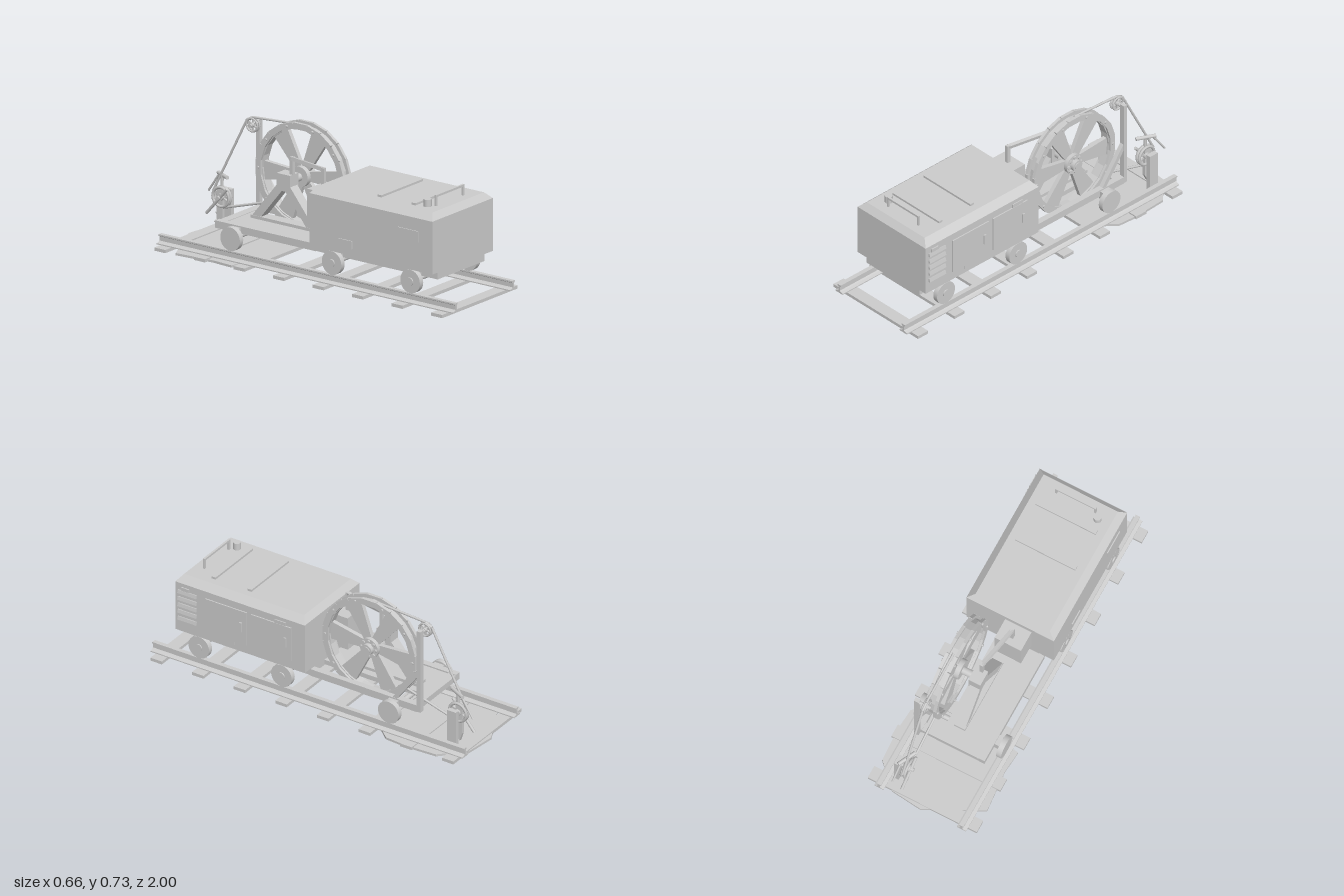
import * as THREE from 'three';

const mat = new THREE.MeshStandardMaterial({ color: 0xcccccc, side: THREE.DoubleSide });
const flat = new THREE.MeshStandardMaterial({ color: 0xcccccc, flatShading: true, side: THREE.DoubleSide });
const V = (x, y, z) => new THREE.Vector3(x, y, z);

function add(parent, name, geo, x = 0, y = 0, z = 0, m = mat) {
  const mesh = new THREE.Mesh(geo, m);
  mesh.name = name;
  mesh.position.set(x, y, z);
  parent.add(mesh);
  return mesh;
}
// Box given by its minimum and maximum on each axis
function box(parent, name, x0, x1, y0, y1, z0, z1) {
  return add(parent, name, new THREE.BoxGeometry(x1 - x0, y1 - y0, z1 - z0),
    (x0 + x1) / 2, (y0 + y1) / 2, (z0 + z1) / 2);
}
// Cylinder lying along x, from x0 to x1
function axial(parent, name, r, x0, x1, y, z, n = 24) {
  const geo = new THREE.CylinderGeometry(r, r, x1 - x0, n).rotateZ(Math.PI / 2);
  return add(parent, name, geo, (x0 + x1) / 2, y, z, n < 12 ? flat : mat);
}
// Straight beam between two points: square (w by d) or round (d omitted)
function beam(parent, name, a, b, w, d) {
  const len = a.distanceTo(b);
  const geo = d ? new THREE.BoxGeometry(w, len, d) : new THREE.CylinderGeometry(w, w, len, 8);
  const mesh = add(parent, name, geo);
  mesh.position.copy(a).lerp(b, 0.5);
  mesh.quaternion.setFromUnitVectors(V(0, 1, 0), b.clone().sub(a).normalize());
  return mesh;
}
// Bent bar through several points
function bar(parent, name, pts, w) {
  const g = new THREE.Group();
  g.name = name;
  parent.add(g);
  pts.slice(1).forEach((p, i) => beam(g, name + 'Length', pts[i], p, w, w));
  pts.slice(1, -1).forEach(p => add(g, name + 'Corner', new THREE.BoxGeometry(w, w, w), p.x, p.y, p.z));
}
// Extrude a shape (drawn with -z to the right) along x, centred on x = 0
function plateX(shape, depth) {
  return new THREE.ExtrudeGeometry(shape, { depth, bevelEnabled: false, curveSegments: 12 })
    .translate(0, 0, -depth / 2).rotateY(Math.PI / 2);
}
const poly = pts => new THREE.Shape(pts.map(p => new THREE.Vector2(...p)));

function buildTrack(root) {
  const g = new THREE.Group();
  g.name = 'track';
  root.add(g);
  for (let i = 0; i < 8; i++) {
    const z = 0.93 - i * 0.267;
    box(g, 'sleeper', -0.33, 0.33, 0.002, 0.02, z - 0.037, z + 0.037);
  }
  // I-shaped rail section
  const half = [[0.028, 0.02], [0.028, 0.026], [0.012, 0.031], [0.005, 0.036], [0.005, 0.06], [0.013, 0.065], [0.013, 0.073]];
  const section = poly([...half, ...half.map(([x, y]) => [-x, y]).reverse()]);
  for (const s of [-1, 1]) {
    add(g, 'rail', new THREE.ExtrudeGeometry(section, { depth: 2, bevelEnabled: false }), s * 0.25, 0, -1);
  }
  // Rough ground slab beneath the rear end
  const slab = poly([[-0.31, 0.47], [-0.3, 0.6], [-0.32, 0.84], [-0.06, 0.97], [0, 1], [0.18, 0.98], [0.31, 0.85],
    [0.32, 0.66], [0.31, 0.53], [0.25, 0.46], [0.1, 0.42], [-0.15, 0.4], [-0.25, 0.46]]);
  add(g, 'groundSlab', new THREE.ExtrudeGeometry(slab, { depth: 0.013, bevelEnabled: false }).rotateX(-Math.PI / 2));
}

function buildChassis(root) {
  const g = new THREE.Group();
  g.name = 'chassis';
  root.add(g);
  box(g, 'underframe', -0.205, 0.205, 0.163, 0.207, 0.02, 0.84);
  for (const s of [-1, 1]) box(g, 'sideBeam', s * 0.19 - 0.018, s * 0.19 + 0.018, 0.162, 0.203, -0.66, 0.02);
  box(g, 'deck', -0.175, 0.075, 0.168, 0.195, -0.64, 0.02);
  box(g, 'endBeam', -0.175, 0.175, 0.165, 0.198, -0.66, -0.61);
  for (const z of [0.7, 0.17, -0.515]) {
    axial(g, 'axle', 0.015, -0.24, 0.24, 0.14, z, 16);
    for (const s of [-1, 1]) {
      axial(g, 'trackWheel', 0.066, s * 0.25 - 0.015, s * 0.25 + 0.015, 0.14, z, 32);
      if (z > 0) axial(g, 'wheelCap', 0.022, s * 0.267 - 0.005, s * 0.267 + 0.005, 0.14, z, 16);
      box(g, 'axleBox', s * 0.219 - 0.014, s * 0.219 + 0.014, 0.143, 0.195, z - 0.03, z + 0.03);
    }
  }
}

function buildHousing(root) {
  const g = new THREE.Group();
  g.name = 'engineHousing';
  root.add(g);
  // Box whose upper ring is pulled in to chamfer the roof
  const geo = new THREE.BoxGeometry(0.53, 0.333, 0.83, 1, 2, 1);
  const p = geo.attributes.position;
  for (let i = 0; i < p.count; i++) {
    const y = p.getY(i);
    if (Math.abs(y) < 0.01) p.setY(i, 0.13);
    else if (y > 0) p.setXYZ(i, Math.sign(p.getX(i)) * 0.225, y, Math.sign(p.getZ(i)) * 0.385);
  }
  add(g, 'body', geo, 0, 0.3735, 0.435, flat);
  // Roof fittings
  for (const z of [0.43, 0.66]) box(g, 'roofStrip', -0.182, 0.182, 0.538, 0.552, z - 0.013, z + 0.013);
  bar(g, 'roofHandle', [V(-0.119, 0.535, 0.762), V(-0.119, 0.595, 0.762), V(0.117, 0.595, 0.762), V(0.117, 0.535, 0.762)], 0.012);
  add(g, 'fillerCap', new THREE.CylinderGeometry(0.022, 0.022, 0.045, 20), -0.15, 0.558, 0.73);
  // Doors and louvres on the left flank
  for (const [z0, z1] of [[0.39, 0.655], [0.105, 0.36]]) {
    box(g, 'door', 0.262, 0.272, 0.257, 0.462, z0, z1);
    box(g, 'doorHandle', 0.27, 0.28, 0.335, 0.392, z0 + 0.028, z0 + 0.043);
  }
  box(g, 'doorTab', 0.262, 0.27, 0.462, 0.482, 0.14, 0.215);
  box(g, 'doorTab', 0.262, 0.27, 0.235, 0.257, 0.47, 0.57);
  for (const y of [0.452, 0.41, 0.37, 0.33, 0.287]) {
    box(g, 'louvre', 0.262, 0.276, y - 0.01, y + 0.01, 0.71, 0.83).rotation.z = 0.2;
  }
  box(g, 'louvreTab', 0.262, 0.272, 0.46, 0.482, 0.76, 0.81);
  // Hatches on the right flank
  box(g, 'hatch', -0.271, -0.262, 0.37, 0.432, 0.62, 0.76);
  box(g, 'hatch', -0.271, -0.262, 0.245, 0.29, 0.22, 0.31);
  // Drive box and feed pipe behind the housing
  box(g, 'driveBox', -0.13, 0.03, 0.275, 0.47, -0.1, 0.03);
  bar(g, 'feedPipe', [V(-0.05, 0.46, -0.05), V(-0.05, 0.567, -0.05), V(0, 0.567, -0.3), V(0, 0.45, -0.3)], 0.02);
}

function buildWheel(root) {
  const g = new THREE.Group();
  g.name = 'driveWheel';
  g.position.set(0.139, 0.433, -0.33);
  root.add(g);
  const n = 20;
  // Segmented flanges with bolts
  for (let i = 0; i < n; i++) {
    const seg = new THREE.Group();
    seg.name = 'rimSegment';
    seg.rotation.x = (i / n) * Math.PI * 2;
    g.add(seg);
    for (const s of [-1, 1]) {
      box(seg, 'flangeBlock', s * 0.027 - 0.009, s * 0.027 + 0.009, 0.262, 0.297, -0.045, 0.045);
      if (i % 2) axial(seg, 'flangeBolt', 0.008, s * 0.038 - 0.005, s * 0.038 + 0.005, 0.28, 0, 8);
    }
  }
  // Drum between the flanges
  const ring = new THREE.Shape().absarc(0, 0, 0.28, 0, Math.PI * 2);
  ring.holes.push(new THREE.Path().absarc(0, 0, 0.26, 0, Math.PI * 2, true));
  add(g, 'drum', plateX(ring, 0.045));
  // Spokes widen toward the rim
  const spoke = poly([[0.04, -0.025], [0.268, -0.055], [0.268, 0.055], [0.04, 0.025]]);
  for (let i = 0; i < 6; i++) add(g, 'spoke', plateX(spoke, 0.025)).rotation.x = (56 + i * 60) * Math.PI / 180;
  // Hub
  axial(g, 'hub', 0.058, -0.04, 0.035, 0, 0, 24);
  axial(g, 'hubCap', 0.033, 0.03, 0.06, 0, 0, 16);
  axial(g, 'shaft', 0.022, -0.14, 0.065, 0, 0, 16);
  for (let i = 0; i < 8; i++) {
    const a = (i / 8) * Math.PI * 2;
    axial(g, 'hubBolt', 0.009, 0.03, 0.044, 0.045 * Math.cos(a), 0.045 * Math.sin(a), 6);
  }
  // Trestle carrying the shaft
  box(root, 'bearingBlock', -0.033, 0.04, 0.385, 0.48, -0.38, -0.29);
  for (const z of [-0.53, -0.14]) {
    beam(root, 'trestleLeg', V(0, 0.195, z), V(0, 0.41, -0.335 + Math.sign(z + 0.335) * 0.02), 0.062, 0.045);
  }
  box(root, 'trestleFoot', -0.034, 0.034, 0.193, 0.212, -0.555, -0.12);
}

// Grooved guide pulley with a spoked centre
function pulley(root, r, y, z) {
  const g = new THREE.Group();
  g.name = 'guidePulley';
  g.position.set(0.139, y, z);
  root.add(g);
  for (const s of [-1, 1]) add(g, 'pulleyRim', new THREE.TorusGeometry(r * 0.87, r * 0.14, 6, 20).rotateY(Math.PI / 2), s * 0.009);
  axial(g, 'pulleyHub', r * 0.32, -0.02, 0.02, 0, 0, 12);
  for (let i = 0; i < 3; i++) add(g, 'pulleySpoke', new THREE.BoxGeometry(0.01, r * 1.7, r * 0.2)).rotation.x = i * Math.PI / 3;
}

function buildRopeGear(root) {
  const g = new THREE.Group();
  g.name = 'ropeGear';
  root.add(g);
  // Mast, brace and pulleys
  box(g, 'mast', 0.179, 0.208, 0.165, 0.667, -0.683, -0.66);
  beam(g, 'mastBrace', V(0.193, 0.2, -0.515), V(0.193, 0.41, -0.668), 0.025, 0.025);
  pulley(g, 0.042, 0.65, -0.672);
  axial(g, 'pulleyAxle', 0.01, 0.11, 0.195, 0.65, -0.672, 10);
  pulley(g, 0.062, 0.205, -0.883);
  axial(g, 'pulleyAxle', 0.011, 0.1, 0.2, 0.205, -0.883, 10);
  box(g, 'anchorPost', 0.179, 0.207, 0.013, 0.24, -0.91, -0.852);
  // Rope loop from the wheel over both pulleys
  beam(g, 'rope', V(0.139, 0.713, -0.36), V(0.139, 0.693, -0.67), 0.007);
  beam(g, 'rope', V(0.139, 0.693, -0.67), V(0.139, 0.672, -0.712), 0.007);
  beam(g, 'rope', V(0.139, 0.672, -0.712), V(0.139, 0.23, -0.94), 0.007);
  beam(g, 'rope', V(0.139, 0.145, -0.875), V(0.139, 0.25, -0.52), 0.007);
  // Stake, cross handle and tie rods
  const stake = poly([[0.87, 0.25], [0.87, 0.08], [0.895, 0.032], [0.91, 0.08], [0.91, 0.25]]);
  add(g, 'stake', plateX(stake, 0.018), 0.139);
  beam(g, 'handle', V(0.12, 0.325, -0.83), V(0.17, 0.325, -0.93), 0.011);
  beam(g, 'handleStem', V(0.139, 0.325, -0.88), V(0.139, 0.21, -0.883), 0.009);
  beam(g, 'tieRod', V(0.16, 0.33, -0.91), V(0.17, 0.212, -0.995), 0.006);
  beam(g, 'tieRod', V(0.115, 0.262, -0.83), V(0.125, 0.1, -0.975), 0.009);
}

export function createModel() {
  const root = new THREE.Group();
  root.name = 'railHaulageMachine';
  buildTrack(root);
  buildChassis(root);
  buildHousing(root);
  buildWheel(root);
  buildRopeGear(root);
  return root;
}
